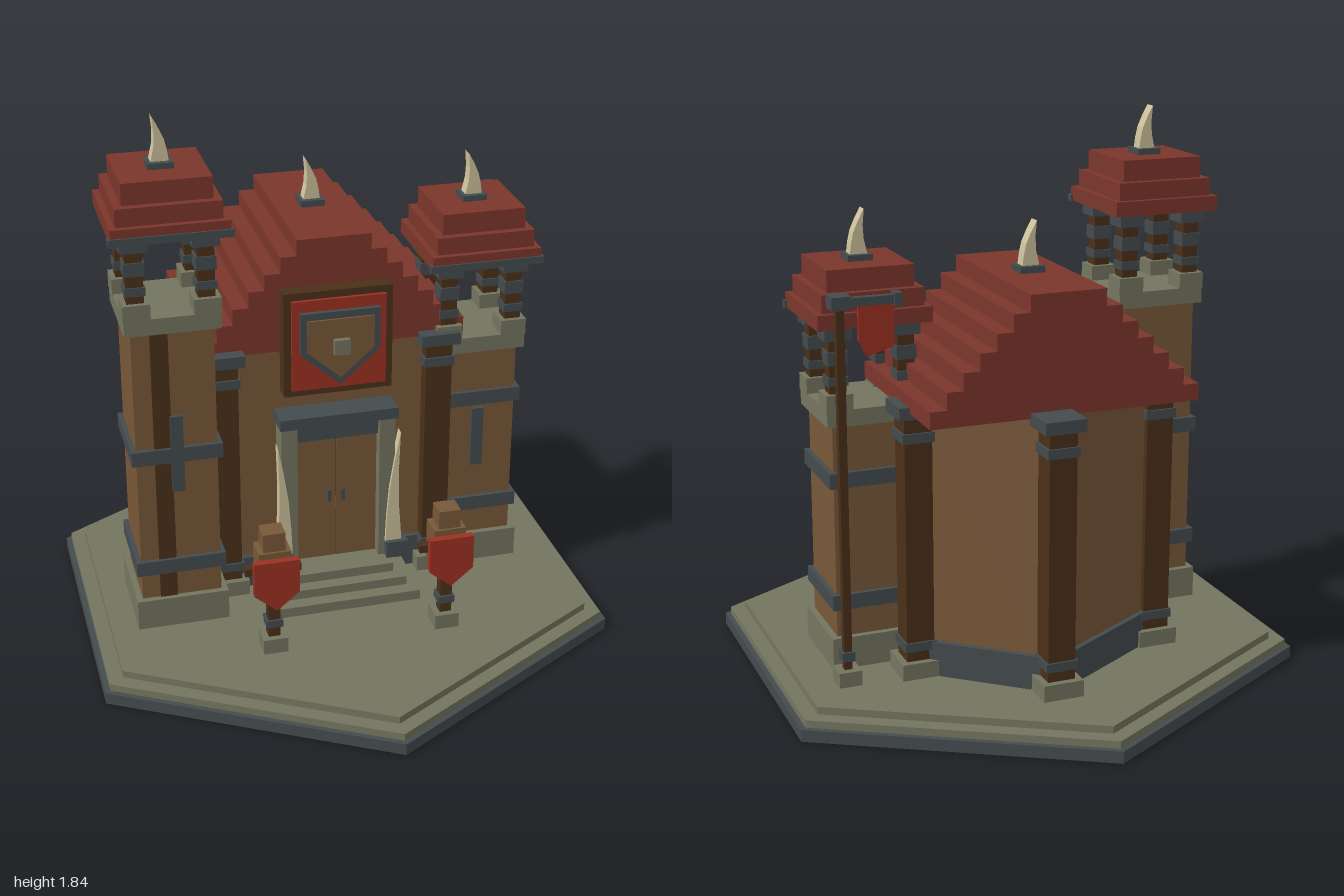
import * as THREE from 'three';

const paint = (name, color) => {
  const m = new THREE.MeshStandardMaterial({ color });
  m.name = name;
  return m;
};

export function createModel() {
  const wood = paint('wood', 0x785839), darkWood = paint('dark wood', 0x4a3019);
  const slate = paint('slate', 0x444b4e), stone = paint('stone', 0x74755f);
  const tile = paint('roof tile', 0x7b362b), red = paint('banner red', 0x9c3122);
  const ivory = paint('ivory', 0xcdc29c);

  const add = (parent, name, geo, mat, x = 0, y = 0, z = 0) => {
    const m = new THREE.Mesh(geo, mat);
    m.name = name;
    m.position.set(x, y, z);
    parent.add(m);
    return m;
  };
  // box given by its width, bottom, top, depth and centre
  const box = (parent, name, mat, w, y0, y1, d, x = 0, z = 0) =>
    add(parent, name, new THREE.BoxGeometry(w, y1 - y0, d), mat, x, (y0 + y1) / 2, z);
  const extrude = (pts, depth) => new THREE.ExtrudeGeometry(
    new THREE.Shape(pts.map(([x, y]) => new THREE.Vector2(x, y))), { depth, bevelEnabled: false });
  const group = (parent, name, x = 0, z = 0) => {
    const g = new THREE.Group();
    g.name = name;
    g.position.set(x, 0, z);
    parent.add(g);
    return g;
  };
  // flat-sided curved horn, tip leaning to one side
  const horn = (parent, name, x, y, z, h, w, d, lean = -1) => {
    const pts = [[-0.5, 0], [0.5, 0], [0.42, 0.25], [0.28, 0.5], [0, 0.75], [-0.34, 1], [-0.26, 0.65], [-0.3, 0.35]];
    const geo = extrude(pts.map(([a, b]) => [-lean * a * w, b * h]), d).translate(0, 0, -d / 2);
    return add(parent, name, geo, ivory, x, y, z);
  };
  const roofHorn = (parent, x, y, z) => {
    box(parent, 'hornBase', slate, 0.083, y, y + 0.022, 0.083, x, z);
    horn(parent, 'roofHorn', x, y + 0.02, z, 0.145, 0.058, 0.043);
  };
  // five-sided shield, point down
  const shield = (parent, name, mat, half, top, side, tip, depth, x, z) =>
    add(parent, name, extrude([[-half, top], [-half, side], [0, tip], [half, side], [half, top]], depth), mat, x, 0, z);

  const root = new THREE.Group();
  root.name = 'stronghold';

  // hexagonal base
  [[1, 0, 0.04, slate], [0.98, 0.04, 0.065, stone], [0.925, 0.065, 0.09, stone]].forEach(([r, y0, y1, m], i) => {
    const geo = new THREE.CylinderGeometry(r, r, y1 - y0, 6).toNonIndexed();
    geo.computeVertexNormals();
    add(root, 'baseTier' + i, geo, m, 0, (y0 + y1) / 2, 0);
  });

  // five-sided hall with a plinth and corner posts
  const hall = group(root, 'hall');
  const corners = [[-0.37, 0.05], [-0.395, -0.36], [0.065, -0.63], [0.425, -0.32], [0.37, 0.05]];
  const prism = (k, h) => extrude(corners.map(([x, z]) => [x * k, -((z + 0.25) * k - 0.25)]), h).rotateX(-Math.PI / 2);
  add(hall, 'hallWalls', prism(0.99, 0.89), wood, 0, 0.09, 0);
  add(hall, 'hallPlinth', prism(1.05, 0.115), slate, 0, 0.09, 0);
  for (const [x, z] of corners) {
    const p = group(hall, 'cornerPost', x, z);
    box(p, 'postFoot', stone, 0.135, 0.09, 0.145, 0.135);
    box(p, 'postShaft', darkWood, 0.092, 0.14, 0.97, 0.092);
    box(p, 'postLowRing', slate, 0.106, 0.18, 0.21, 0.106);
    box(p, 'postHighRing', slate, 0.106, 0.88, 0.912, 0.106);
    box(p, 'postCap', slate, 0.136, 0.962, 1.003, 0.136);
  }

  // stepped gable roof
  const steps = 7, left = [], right = [];
  for (let i = 0; i < steps; i++) {
    const half = 0.45 - i * 0.054, y0 = 0.985 + i * 0.0555, y1 = y0 + 0.0555;
    right.push([half, y0], [half, y1]);
    left.unshift([-half, y1], [-half, y0]);
  }
  add(hall, 'hallRoof', extrude([...right, ...left], 0.65), tile, 0.01, 0, -0.58);
  roofHorn(hall, 0.01, 1.373, -0.255);

  // emblem board over the door
  const board = group(root, 'emblemBoard', 0.01, 0);
  box(board, 'boardFrame', darkWood, 0.37, 0.84, 1.21, 0.06, 0, 0.095);
  box(board, 'boardPanel', red, 0.32, 0.865, 1.185, 0.015, 0, 0.13);
  shield(board, 'shieldRim', slate, 0.135, 1.146, 1.0, 0.883, 0.02, 0, 0.135);
  shield(board, 'shieldFace', wood, 0.113, 1.122, 1.01, 0.91, 0.008, 0, 0.154);
  box(board, 'shieldBoss', stone, 0.054, 1.0, 1.053, 0.025, 0, 0.168);

  // doorway, tusks and steps
  const door = group(root, 'doorway', 0.01, 0);
  for (const s of [-1, 1]) {
    box(door, 'doorJamb', stone, 0.055, 0.19, 0.73, 0.08, s * 0.171, 0.095);
    box(door, 'doorLeaf', wood, 0.142, 0.19, 0.66, 0.04, s * 0.0725, 0.075);
    box(door, 'doorHandle', slate, 0.013, 0.41, 0.455, 0.012, s * 0.024, 0.1);
    box(door, 'tuskBase', slate, 0.077, 0.19, 0.25, 0.06, s * 0.205, 0.135);
    horn(door, 'tusk', s * 0.195, 0.245, 0.13, 0.425, 0.058, 0.034, s);
  }
  box(door, 'doorGap', darkWood, 0.004, 0.19, 0.66, 0.03, 0, 0.075);
  box(door, 'transom', slate, 0.29, 0.66, 0.73, 0.06, 0, 0.085);
  box(door, 'lintel', slate, 0.41, 0.727, 0.766, 0.1, 0, 0.1);
  [[0.5, 0.125, 0.293], [0.43, 0.157, 0.245], [0.36, 0.19, 0.2]].forEach(([w, y, z]) =>
    box(door, 'step', stone, w, 0.09, y, z - 0.04, 0, (z + 0.04) / 2));

  // watch towers; top is the height of the wooden body
  const tower = (name, x, z, top, slitLow, slitHigh) => {
    const t = group(root, name, x, z);
    box(t, 'towerFoot', stone, 0.31, 0.09, 0.197, 0.31);
    box(t, 'towerBody', wood, 0.268, 0.19, top, 0.268);
    for (const y of [0.293, 0.707]) box(t, 'towerBand', slate, 0.3, y, y + 0.051, 0.3);
    box(t, 'windowSlit', slate, 0.042, slitLow, slitHigh, 0.03, 0, 0.135);
    box(t, 'parapet', stone, 0.31, top, top + 0.055, 0.31);
    for (const sx of [-1, 1]) for (const sz of [-1, 1]) {
      const p = group(t, 'roofPost', sx * 0.113, sz * 0.113);
      box(p, 'merlon', stone, 0.088, top + 0.05, top + 0.106, 0.088);
      box(p, 'roofPostShaft', darkWood, 0.055, top + 0.1, top + 0.33, 0.055);
      box(p, 'roofPostLowRing', slate, 0.066, top + 0.132, top + 0.16, 0.066);
      box(p, 'roofPostMidRing', slate, 0.066, top + 0.198, top + 0.243, 0.066);
      box(p, 'roofPostCap', slate, 0.088, top + 0.28, top + 0.325, 0.088);
    }
    [[0.375, 0.323, 0.373], [0.335, 0.373, 0.432], [0.285, 0.432, 0.503]].forEach(([w, a, b]) =>
      box(t, 'roofTier', tile, w, top + a, top + b, w));
    box(t, 'roofFrontBeam', slate, 0.392, top + 0.32, top + 0.345, 0.025, 0, 0.182);
    roofHorn(t, 0, top + 0.5, 0);
    return t;
  };
  const tall = tower('tallTower', -0.556, 0.085, 1.17, 0.6, 0.873);
  box(tall, 'frontPlank', darkWood, 0.058, 0.197, 1.17, 0.008, -0.045, 0.135);
  box(tall, 'sidePlank', darkWood, 0.008, 0.197, 1.17, 0.055, 0.135, 0.05);
  tower('shortTower', 0.52, -0.065, 0.912, 0.473, 0.693);

  // training dummies
  for (const s of [-1, 1]) {
    const d = group(root, 'trainingDummy', s * 0.295, 0.447);
    box(d, 'dummyFoot', stone, 0.082, 0.09, 0.143, 0.082);
    box(d, 'dummyPost', darkWood, 0.04, 0.14, 0.34, 0.04);
    box(d, 'dummyRing', slate, 0.055, 0.18, 0.207, 0.055);
    box(d, 'dummyTorso', wood, 0.108, 0.33, 0.475, 0.086);
    box(d, 'dummyHead', wood, 0.074, 0.475, 0.54, 0.07);
    box(d, 'dummyArms', darkWood, 0.186, 0.38, 0.407, 0.027);
    shield(d, 'dummyShield', red, 0.075, 0.454, 0.335, 0.273, 0.025, 0, 0.043);
  }

  // flag pole with hanging flag
  const pole = group(root, 'flagPole', 0.66, -0.325);
  box(pole, 'poleFoot', stone, 0.075, 0.09, 0.14, 0.075);
  box(pole, 'poleShaft', darkWood, 0.026, 0.14, 1.33, 0.026);
  box(pole, 'poleRing', slate, 0.042, 0.17, 0.2, 0.042);
  box(pole, 'poleCap', slate, 0.062, 1.32, 1.362, 0.062);
  box(pole, 'poleArm', slate, 0.19, 1.325, 1.352, 0.025, -0.1, 0);
  box(pole, 'poleArmEnd', slate, 0.025, 1.318, 1.359, 0.045, -0.185, 0);
  add(pole, 'flag', extrude([[-0.175, 1.33], [-0.175, 1.19], [-0.085, 1.163], [-0.06, 1.215], [-0.06, 1.33]], 0.012),
    red, 0, 0, -0.006);

  return root;
}
